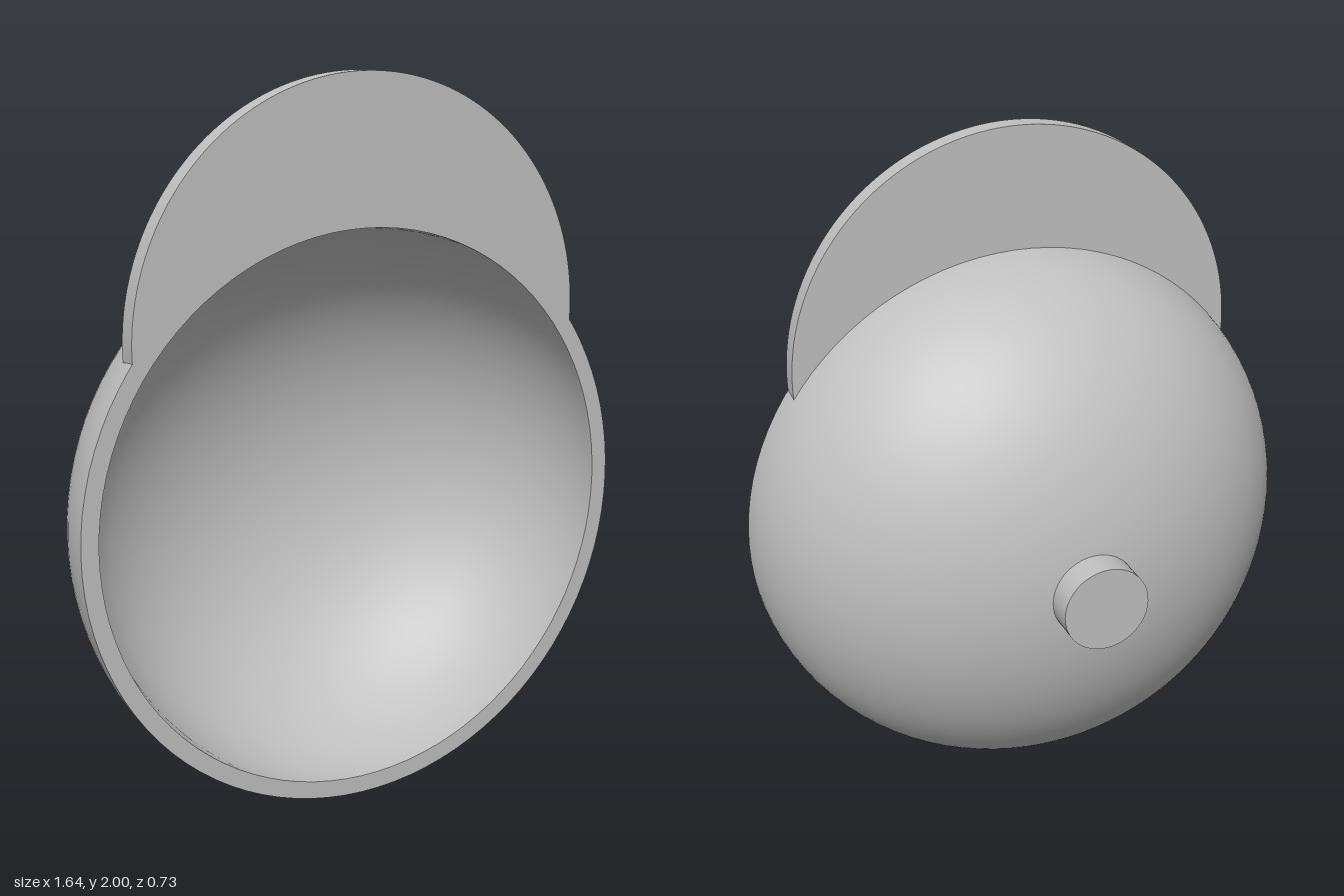
import * as THREE from 'three';

const CENTER_Y = 0.822, FRONT_Z = 0.363;
const OUTER = 0.822, OUTER_DEPTH = 0.648;
const INNER = 0.773, INNER_DEPTH = 0.6;

// Half-ellipse from the deepest point up to the rim, revolved about z
function shell(radius, depth, inward) {
  const points = [];
  for (let i = 0; i <= 40; i++) {
    const a = (i / 40) * Math.PI / 2;
    points.push(new THREE.Vector2(radius * Math.sin(a), -depth * Math.cos(a)));
  }
  if (inward) points.reverse();
  return new THREE.LatheGeometry(points, 96).rotateX(Math.PI / 2);
}

// Round flap with the bowl's circle cut out of its lower side
function flapGeometry(thickness) {
  const r = 0.672, cut = 0.816;
  const d = 2 - r - CENTER_Y; // flap centre above the bowl centre
  const y = (cut * cut - r * r + d * d) / (2 * d);
  const x = Math.sqrt(cut * cut - y * y);
  const start = Math.atan2(y - d, x);
  const arc = Math.atan2(y, x);
  const shape = new THREE.Shape();
  shape.absarc(0, d, r, start, Math.PI - start, false);
  shape.absarc(0, 0, cut, Math.PI - arc, arc, true);
  return new THREE.ExtrudeGeometry(shape, { depth: thickness, bevelEnabled: false, curveSegments: 64 });
}

export function createModel() {
  const model = new THREE.Group();
  model.name = 'bowlWithFlap';
  const gray = new THREE.MeshStandardMaterial({ color: 0xc0c0c0 });
  gray.name = 'gray';

  const add = (name, geometry, z) => {
    const mesh = new THREE.Mesh(geometry, gray);
    mesh.name = name;
    mesh.position.set(0, CENTER_Y, z);
    model.add(mesh);
  };

  // Hollow bowl, open to the front
  add('bowlOutside', shell(OUTER, OUTER_DEPTH, false), FRONT_Z);
  add('bowlInside', shell(INNER, INNER_DEPTH, true), FRONT_Z);
  add('bowlRim', new THREE.RingGeometry(INNER, OUTER, 96), FRONT_Z);

  // Flat flap rising from the rim
  add('flap', flapGeometry(0.06), FRONT_Z - 0.06);

  // Round stub on the back, sunk slightly into the bowl wall
  const stub = new THREE.CylinderGeometry(0.125, 0.125, 0.1, 48).rotateX(Math.PI / 2);
  add('backStub', stub, -FRONT_Z + 0.05);

  return model;
}
